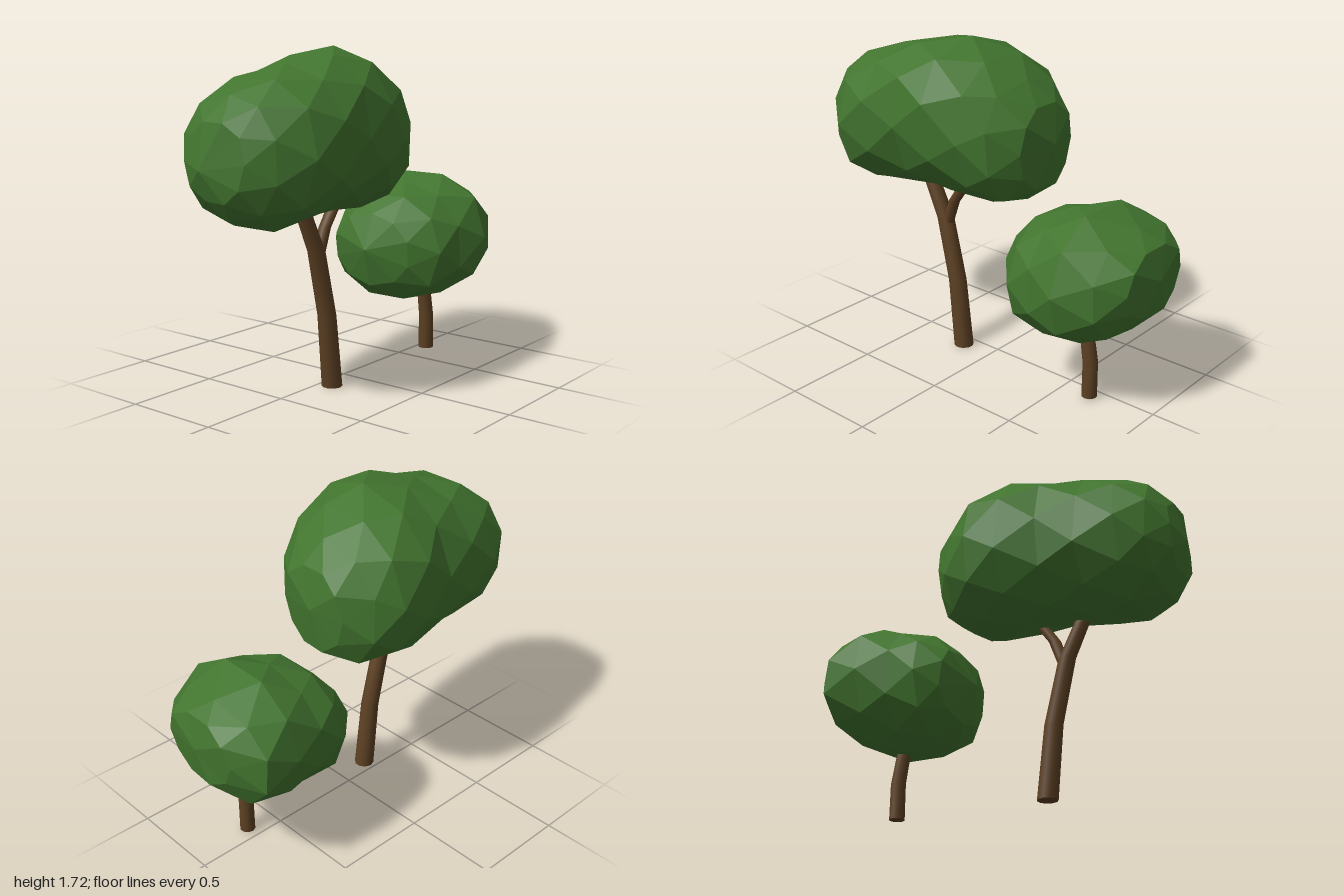
import * as THREE from 'three';
import { toCreasedNormals } from 'three/addons/utils/BufferGeometryUtils.js';

const SIDES = 10;
const leafMaterial = new THREE.MeshStandardMaterial({ color: 0x42752f, flatShading: true });
const barkMaterial = new THREE.MeshStandardMaterial({ color: 0x5c4023 });

// Skin a list of rings, closing both ends with a fan; staggered rings are offset by half a step.
function loft(rings, start, end, staggered) {
  const n = rings[0].length;
  const points = [...rings.flat(), start, end];
  const index = [];
  const at = (i, j) => i * n + (j % n);
  const last = rings.length - 1;
  for (let j = 0; j < n; j++) {
    for (let i = 0; i < last; i++) {
      const a = at(i, j), b = at(i, j + 1), c = at(i + 1, j + 1), d = at(i + 1, j);
      if (staggered && i % 2 === 0) index.push(a, b, d, b, c, d);
      else index.push(a, c, d, a, b, c);
    }
    index.push(points.length - 2, at(0, j + 1), at(0, j));
    index.push(points.length - 1, at(last, j), at(last, j + 1));
  }
  const geometry = new THREE.BufferGeometry().setFromPoints(points);
  geometry.setIndex(index);
  geometry.computeVertexNormals();
  return geometry;
}

// Slightly squared circle coordinate
const squared = (v) => Math.sign(v) * Math.abs(v) ** 0.9;

// Leafy crown from sections along z: [z, left x, right x, bottom y, top y, sideways lean of the top].
function crown(name, sections, back, front) {
  const rings = sections.map(([z, x0, x1, y0, y1, lean], i) =>
    Array.from({ length: SIDES }, (_, j) => {
      const a = ((j + (i % 2) / 2) / SIDES) * Math.PI * 2;
      const swell = 1.02 + 0.01 * Math.sin(i * 5.3 + j * 2.7);
      const u = swell * squared(Math.cos(a));
      const v = swell * squared(Math.sin(a));
      return new THREE.Vector3(
        (x0 + x1) / 2 + ((x1 - x0) / 2) * u + lean * v,
        (y0 + y1) / 2 + ((y1 - y0) / 2) * v,
        z + 0.01 * Math.sin(i * 3.1 + j * 4.3));
    }));
  const mesh = new THREE.Mesh(
    loft(rings, new THREE.Vector3(...back), new THREE.Vector3(...front), true), leafMaterial);
  mesh.name = name;
  return mesh;
}

// Tapered limb through stations [y, z, radius] at a fixed x.
function limb(name, x, stations) {
  const rings = stations.map(([y, z, r]) =>
    Array.from({ length: SIDES }, (_, j) => {
      const a = (j / SIDES) * Math.PI * 2;
      return new THREE.Vector3(x + r * Math.cos(a), y, z - r * Math.sin(a));
    }));
  const centre = ([y, z]) => new THREE.Vector3(x, y, z);
  const geometry = loft(rings, centre(stations[0]), centre(stations.at(-1)), false);
  const mesh = new THREE.Mesh(toCreasedNormals(geometry, 0.8), barkMaterial);
  mesh.name = name;
  return mesh;
}

export function createModel() {
  const model = new THREE.Group();
  model.name = 'trees';

  // Tall tree with a forked trunk and a long, bean-shaped crown
  const tall = new THREE.Group();
  tall.name = 'tallTree';
  tall.add(
    limb('tallTrunk', 0.07, [
      [0, 0.185, 0.053], [0.38, 0.225, 0.048], [0.72, 0.305, 0.045], [0.92, 0.4, 0.041], [0.95, 0.412, 0.038],
    ]),
    limb('tallBranch', 0.07, [
      [0.7, 0.285, 0.03], [0.83, 0.24, 0.031], [0.93, 0.17, 0.033], [0.95, 0.158, 0.03],
    ]),
    crown('tallCrown', [
      [-0.28, -0.24, 0.16, 1.0, 1.43, 0],
      [-0.17, -0.36, 0.3, 0.91, 1.54, 0.02],
      [-0.04, -0.42, 0.36, 0.89, 1.64, 0.03],
      [0.14, -0.42, 0.4, 0.89, 1.71, 0.05],
      [0.33, -0.37, 0.41, 0.9, 1.69, 0.05],
      [0.53, -0.35, 0.43, 0.89, 1.635, 0.03],
      [0.72, -0.32, 0.42, 0.88, 1.59, 0.01],
      [0.86, -0.26, 0.32, 0.94, 1.51, 0],
      [0.95, -0.16, 0.2, 1.03, 1.4, 0],
    ], [-0.06, 1.23, -0.32], [-0.03, 1.18, 1.0]),
  );

  // Short tree with a round crown
  const short = new THREE.Group();
  short.name = 'shortTree';
  short.add(
    limb('shortTrunk', 0.07, [
      [0.01, -0.665, 0.041], [0.2, -0.665, 0.04], [0.38, -0.635, 0.037], [0.4, -0.632, 0.035],
    ]),
    crown('shortCrown', [
      [-0.97, -0.22, 0.23, 0.54, 0.88, 0],
      [-0.86, -0.37, 0.36, 0.42, 0.94, 0],
      [-0.68, -0.37, 0.43, 0.35, 1.02, -0.01],
      [-0.51, -0.34, 0.39, 0.335, 0.97, -0.01],
      [-0.36, -0.33, 0.35, 0.35, 0.92, 0],
      [-0.25, -0.25, 0.23, 0.44, 0.82, 0],
    ], [0.0, 0.72, -1.0], [0.0, 0.64, -0.175]),
  );

  model.add(tall, short);
  return model;
}
